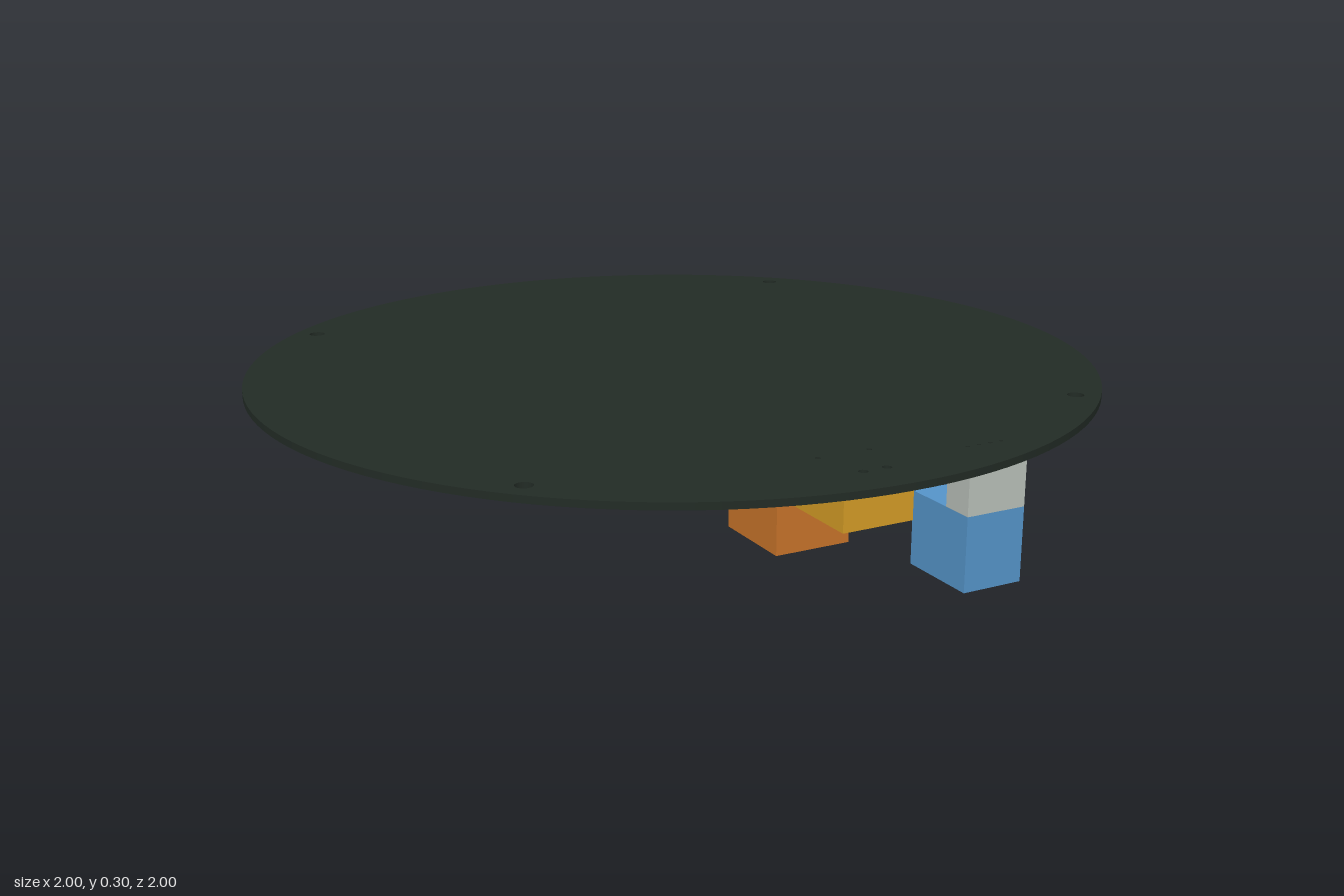
import * as THREE from 'three';

const TOP = 0.297, THICK = 0.016;

function circlePoints(x, z, r, sides) {
  return Array.from({ length: sides }, (_, i) => {
    const a = (i / sides) * Math.PI * 2;
    return new THREE.Vector2(x + r * Math.cos(a), z + r * Math.sin(a));
  });
}

// Box given by its lower and upper corners
function block(name, color, min, max) {
  const size = max.map((v, i) => v - min[i]);
  const mesh = new THREE.Mesh(
    new THREE.BoxGeometry(...size),
    new THREE.MeshStandardMaterial({ color })
  );
  mesh.position.set(...max.map((v, i) => (v + min[i]) / 2));
  mesh.name = name;
  return mesh;
}

export function createModel() {
  const group = new THREE.Group();
  group.name = 'roundCircuitBoard';

  // Round board, drilled through
  const outline = new THREE.Shape(circlePoints(0, 0, 1, 128));
  const drill = (x, z, r, sides) => outline.holes.push(new THREE.Path(circlePoints(x, z, r, sides)));

  // Four mounting holes
  for (const sx of [-1, 1]) for (const sz of [-1, 1]) drill(sx * 0.668, sz * 0.668, 0.019, 32);
  // Pin and peg holes over the socket
  for (const s of [-1, 1]) {
    drill(-0.025 + s * 0.061, 0.786, 0.006, 16);
    drill(-0.025 + s * 0.028, 0.898, 0.01, 16);
  }
  // Row of four pin holes over the header
  for (let i = 0; i < 4; i++) drill(0.223 + i * 0.028, 0.864, 0.0045, 16);

  const geometry = new THREE.ExtrudeGeometry(outline, { depth: THICK, bevelEnabled: false });
  geometry.rotateX(Math.PI / 2);
  const board = new THREE.Mesh(geometry, new THREE.MeshStandardMaterial({ color: 0x222b25 }));
  board.position.y = TOP;
  board.name = 'board';
  group.add(board);

  // Connectors hanging under the board, each socket with its plug
  const under = TOP - THICK;
  group.add(
    block('socket', 0xd49c26, [-0.107, 0.183, 0.68], [0.057, under, 0.915]),
    block('socketPlug', 0xc8742a, [-0.114, 0.057, 0.48], [0.064, 0.267, 0.68]),
    block('header', 0xb9c0b9, [0.194, 0.165, 0.84], [0.337, under, 0.913]),
    block('headerPlug', 0x5594c9, [0.194, 0, 0.725], [0.337, 0.165, 0.913])
  );
  return group;
}
